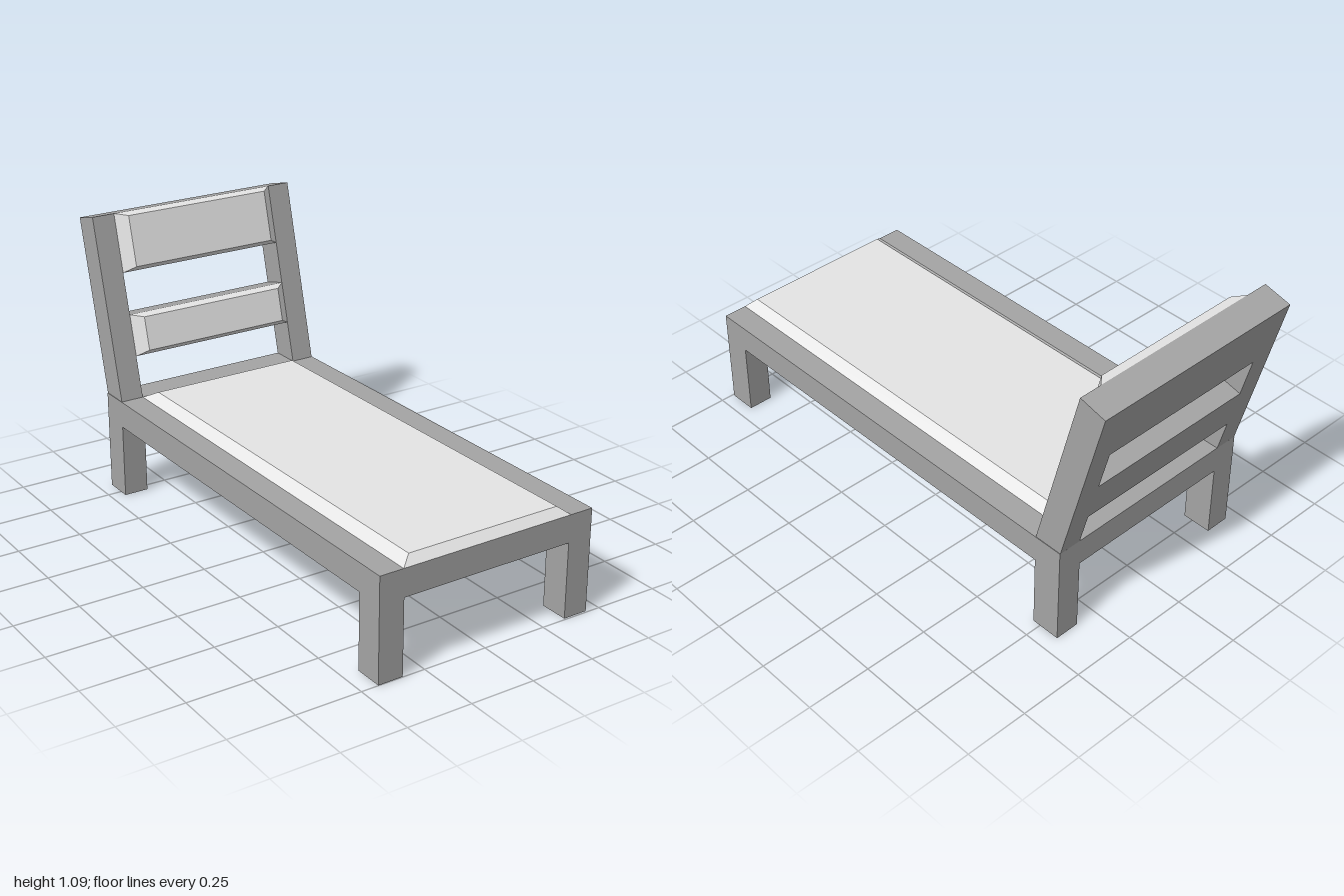
import * as THREE from 'three';

const frameMat = new THREE.MeshStandardMaterial({ color: 0xa4a4a4, side: THREE.DoubleSide });
frameMat.name = 'frame grey';
const cushionMat = new THREE.MeshStandardMaterial({ color: 0xe4e4e4 });
cushionMat.name = 'cushion light grey';

function addMesh(parent, name, geometry, material) {
  const mesh = new THREE.Mesh(geometry, material);
  mesh.name = name;
  parent.add(mesh);
  return mesh;
}

// Box given by its minimum and maximum corners
function boxBetween(x0, x1, y0, y1, z0, z1) {
  const g = new THREE.BoxGeometry(x1 - x0, y1 - y0, z1 - z0);
  return g.translate((x0 + x1) / 2, (y0 + y1) / 2, (z0 + z1) / 2);
}

// Keep only the four upright sides of a box
function openEnds(g) {
  const index = Array.from(g.index.array);
  index.splice(12, 12);
  g.setIndex(index);
  g.clearGroups();
  return g;
}

// Move the vertices of a box and restore its flat normals
function reshape(g, rule) {
  const p = g.attributes.position;
  const v = new THREE.Vector3();
  for (let i = 0; i < p.count; i++) {
    rule(v.fromBufferAttribute(p, i));
    p.setXYZ(i, v.x, v.y, v.z);
  }
  g.computeVertexNormals();
  return g;
}

export function createModel() {
  const model = new THREE.Group();
  model.name = 'sunLounger';

  const halfWidth = 0.44, inner = 0.347;
  const front = 0.996, back = -0.83, hinge = -0.715;
  const seatBottom = 0.29, seatTop = 0.395;

  // Bed platform
  addMesh(model, 'seatFrame', boxBetween(-halfWidth, halfWidth, seatBottom, seatTop, back, front), frameMat);

  // Four hollow legs
  for (const side of [-1, 1]) {
    const x0 = side < 0 ? -halfWidth : 0.343;
    const x1 = side < 0 ? -0.343 : halfWidth;
    const tag = side < 0 ? 'Right' : 'Left';
    addMesh(model, 'front' + tag + 'Leg', openEnds(boxBetween(x0, x1, 0, seatBottom, 0.885, front)), frameMat);
    addMesh(model, 'back' + tag + 'Leg', openEnds(boxBetween(x0, x1, 0, seatBottom, back, hinge)), frameMat);
  }

  // Bevelled seat cushion
  const seat = reshape(boxBetween(-inner, inner, seatTop, 0.425, hinge, front), (v) => {
    if (v.y < 0.41) return;
    v.x -= Math.sign(v.x) * 0.04;
    v.z += v.z > 0 ? -0.03 : 0.055;
  });
  addMesh(model, 'seatCushion', seat, cushionMat);

  // Backrest, built upright and then leaned back about its foot
  const backrest = new THREE.Group();
  backrest.name = 'backrest';
  backrest.position.set(0, seatTop, hinge);
  backrest.rotation.x = -Math.atan2(0.175, 0.695);
  model.add(backrest);
  const height = 0.717, depth = 0.1115;

  for (const side of [-1, 1]) {
    // The foot is cut level with the bed
    const post = reshape(
      boxBetween(side < 0 ? -0.438 : inner, side < 0 ? -inner : 0.438, 0, height, -depth, 0),
      (v) => { if (v.y < 0.1 && v.z < -0.05) v.y = 0.028; });
    addMesh(backrest, side < 0 ? 'rightPost' : 'leftPost', post, frameMat);
  }

  // Cross rails, each with a bevelled pad on its front
  for (const [name, y0, y1] of [['lower', 0.162, 0.325], ['upper', 0.488, height]]) {
    addMesh(backrest, name + 'Rail', boxBetween(-inner, inner, y0, y1, -depth, 0), frameMat);
    const pad = reshape(boxBetween(-inner, inner, y0, y1, 0, 0.035), (v) => {
      if (v.z < 0.02) return;
      v.x -= Math.sign(v.x) * 0.043;
      v.y += v.y > (y0 + y1) / 2 ? -0.015 : 0.017;
    });
    addMesh(backrest, name + 'Pad', pad, cushionMat);
  }

  // The whole piece sits very slightly turned
  model.rotation.y = 0.0065;
  return model;
}
